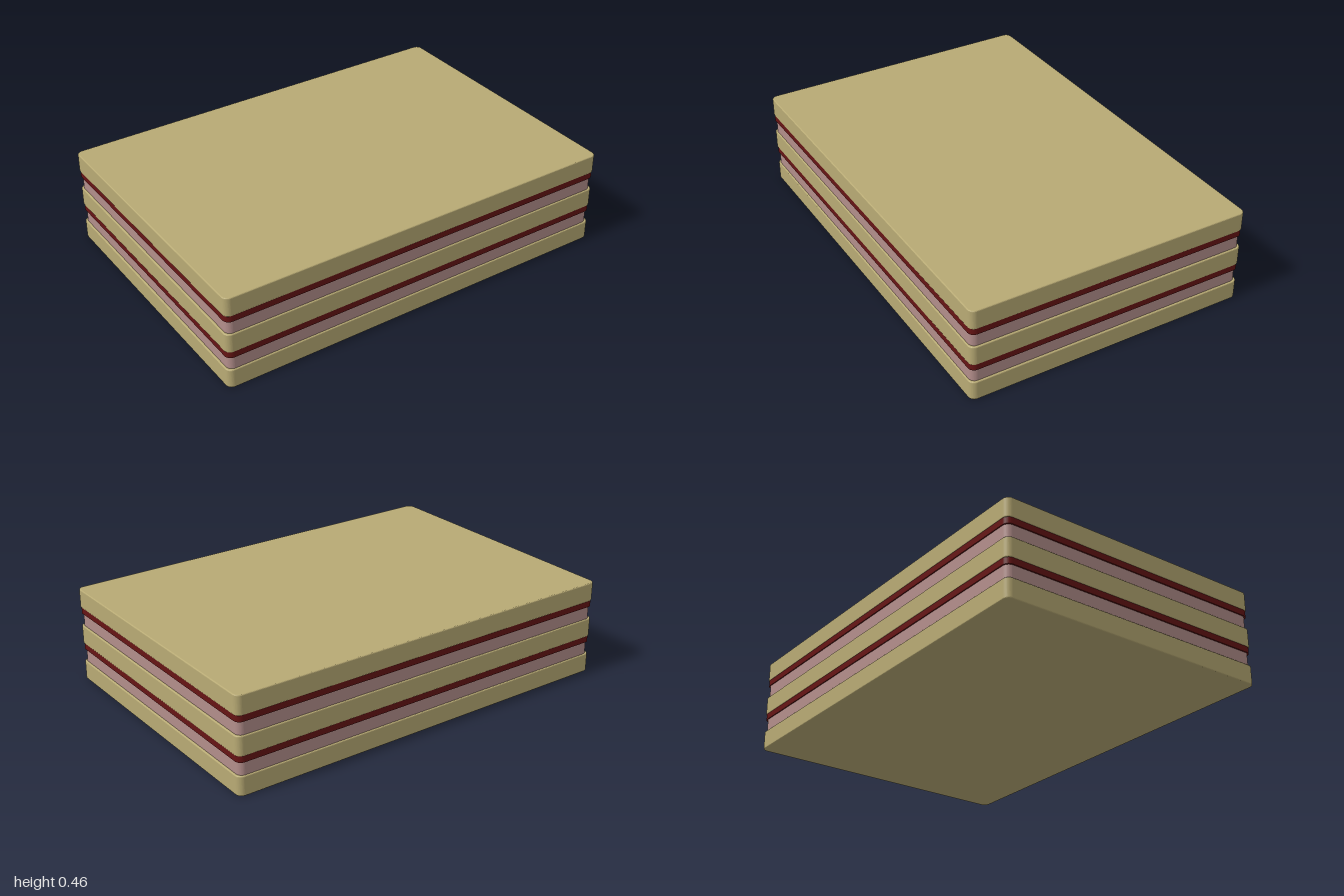
import * as THREE from 'three';

// Flat slab with rounded plan corners and a small rounded rim
function slab(halfX, halfZ, y0, y1, radius, bevel) {
  const x = halfX - bevel, z = halfZ - bevel, r = radius - bevel;
  const s = new THREE.Shape();
  s.absarc(x - r, z - r, r, 0, Math.PI / 2);
  s.absarc(-x + r, z - r, r, Math.PI / 2, Math.PI);
  s.absarc(-x + r, -z + r, r, Math.PI, Math.PI * 1.5);
  s.absarc(x - r, -z + r, r, Math.PI * 1.5, Math.PI * 2);
  s.closePath();
  const geo = new THREE.ExtrudeGeometry(s, {
    depth: y1 - y0 - 2 * bevel,
    bevelEnabled: bevel > 0,
    bevelSize: bevel,
    bevelThickness: bevel,
    bevelSegments: 3,
    curveSegments: 8,
  });
  geo.rotateX(-Math.PI / 2);
  geo.translate(0, y0 + bevel, 0);
  return geo;
}

export function createModel() {
  const group = new THREE.Group();
  const sponge = new THREE.MeshStandardMaterial({ color: 0xb8aa74 });
  const cream = new THREE.MeshStandardMaterial({ color: 0xb38e8b });
  const jam = new THREE.MeshStandardMaterial({ color: 0x661414 });

  const add = (name, material, ...dims) => {
    const mesh = new THREE.Mesh(slab(...dims), material);
    mesh.name = name;
    group.add(mesh);
  };

  // Three sponge layers
  const pitch = 0.184, thick = 0.093;
  ['bottomSponge', 'middleSponge', 'topSponge'].forEach((name, i) =>
    add(name, sponge, 1, 0.69, i * pitch, i * pitch + thick, 0.03, 0.005));

  // Two fillings: inset cream with a band of jam on top
  ['lower', 'upper'].forEach((level, i) => {
    const y = i * pitch;
    add(level + 'Cream', cream, 0.991, 0.683, y + thick - 0.004, y + 0.156, 0.03, 0);
    add(level + 'Jam', jam, 0.997, 0.688, y + 0.155, y + pitch + 0.004, 0.03, 0);
  });
  return group;
}
